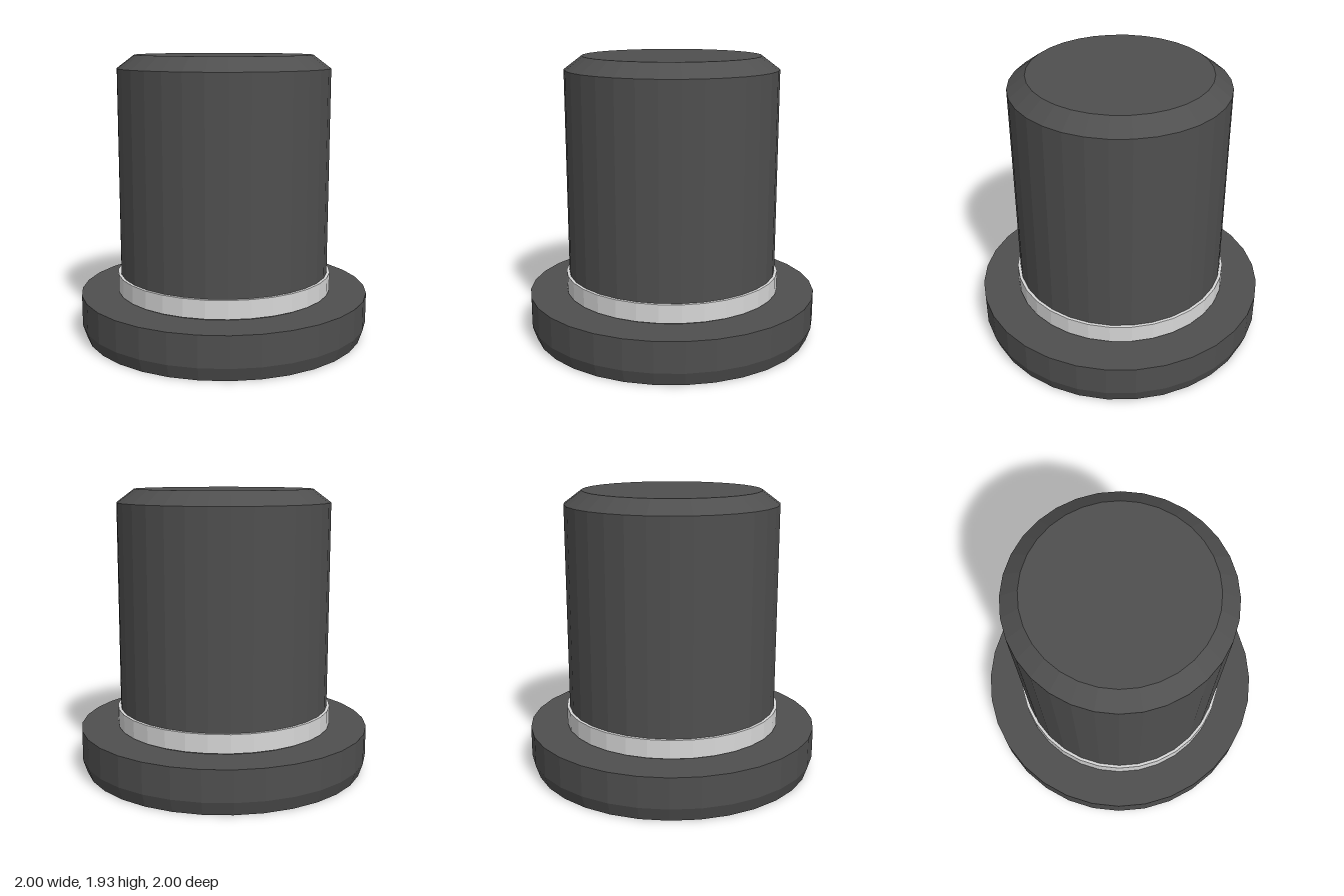
import * as THREE from 'three';

const SIDES = 32;

export function createModel() {
  const felt = new THREE.MeshStandardMaterial({ color: 0x4f4f4f, flatShading: true });
  felt.name = 'charcoal';
  const ribbon = new THREE.MeshStandardMaterial({ color: 0xd7d7d7, flatShading: true });
  ribbon.name = 'pale grey';

  const group = new THREE.Group();
  group.name = 'topHat';

  // Revolve a [radius, height] profile, listed from bottom to top
  const turn = (name, profile, material) => {
    const points = profile.map(([r, y]) => new THREE.Vector2(r, y));
    const mesh = new THREE.Mesh(new THREE.LatheGeometry(points, SIDES), material);
    mesh.name = name;
    group.add(mesh);
  };

  // Thick brim, tapered at its lower edge
  turn('brim', [[0, 0], [0.97, 0], [1, 0.09], [1, 0.3], [0, 0.3]], felt);

  // Tall crown with a bevelled top
  turn('crown', [[0.725, 0.29], [0.725, 1.84], [0.605, 1.93], [0, 1.93]], felt);

  // Ribbon just above the brim
  turn('band', [[0.72, 0.31], [0.745, 0.31], [0.745, 0.435], [0.72, 0.435]], ribbon);

  return group;
}
